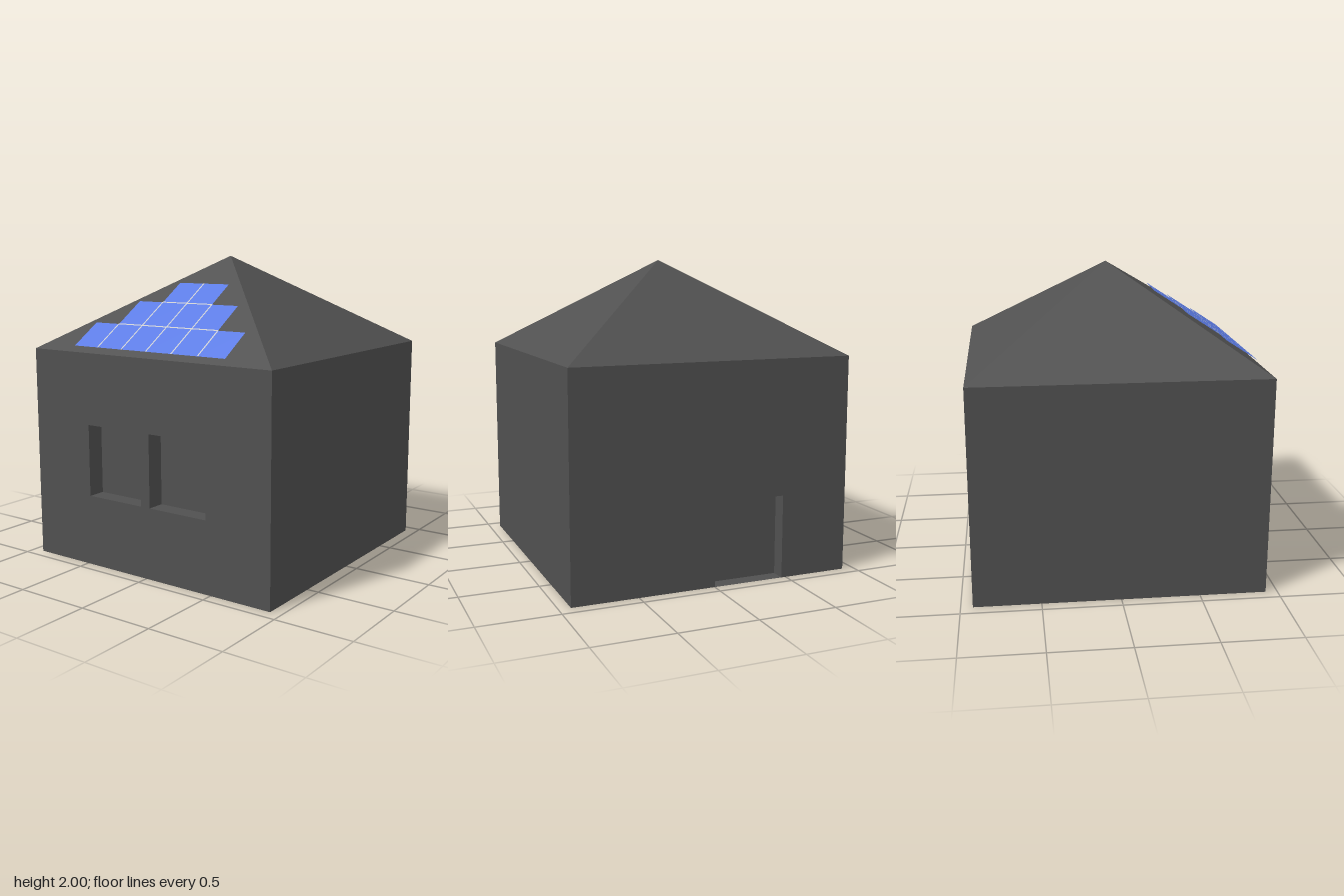
import * as THREE from 'three';

const HALF = 0.925, EAVE = 1.4, APEX = 2;

const wallMat = new THREE.MeshStandardMaterial({ color: 0x505050, flatShading: true });
const panelMat = new THREE.MeshStandardMaterial({ color: 0x5b7be5, side: THREE.DoubleSide });
const stripMat = new THREE.MeshStandardMaterial({ color: 0xcccccc, side: THREE.DoubleSide });

function add(parent, name, geometry, material) {
  const mesh = new THREE.Mesh(geometry, material);
  mesh.name = name;
  parent.add(mesh);
  return mesh;
}

// Corners of a rectangle, counter-clockwise from the lower left
const corners = ({ x0, x1, y0, y1 }) => [[x0, y0], [x1, y0], [x1, y1], [x0, y1]];

// Five inward-facing sides of a recess cut into a wall lying at z = 0
function recessGeometry(opening) {
  const c = corners(opening), d = -opening.depth, pos = [];
  const quad = (p, q, r, s) => pos.push(...p, ...q, ...r, ...p, ...r, ...s);
  c.forEach((a, i) => {
    const b = c[(i + 1) % 4];
    quad([...a, 0], [...b, 0], [...b, d], [...a, d]);
  });
  quad(...c.map((p) => [...p, d]));
  const g = new THREE.BufferGeometry();
  g.setAttribute('position', new THREE.Float32BufferAttribute(pos, 3));
  g.computeVertexNormals();
  return g;
}

// One wall: openings at ground level notch the outline, others become holes
function makeWall(name, angle, openings = []) {
  const group = new THREE.Group();
  group.name = name;
  const outline = [[-HALF, 0]];
  const holes = [];
  for (const o of openings) {
    const [bl, br, tr, tl] = corners(o);
    if (o.y0 === 0) outline.push(bl, tl, tr, br);
    else holes.push([bl, tl, tr, br]);
  }
  outline.push([HALF, 0], [HALF, EAVE], [-HALF, EAVE]);
  const toVec = (pts) => pts.map((p) => new THREE.Vector2(...p));
  const shape = new THREE.Shape(toVec(outline));
  shape.holes = holes.map((h) => new THREE.Path(toVec(h)));
  add(group, name + 'Face', new THREE.ShapeGeometry(shape), wallMat);
  for (const o of openings) add(group, o.name, recessGeometry(o), wallMat);
  group.position.set(Math.sin(angle) * HALF, 0, Math.cos(angle) * HALF);
  group.rotation.y = angle;
  return group;
}

// Flat rectangle in the plane of the solar array
function sheet(parent, name, x0, x1, y0, y1, z, material) {
  const mesh = add(parent, name, new THREE.PlaneGeometry(x1 - x0, y1 - y0), material);
  mesh.position.set((x0 + x1) / 2, (y0 + y1) / 2, z);
}

// Stepped solar array, local origin at the apex, local y up the slope
function makeSolarArray() {
  const array = new THREE.Group();
  array.name = 'solarArray';
  const edges = [-1.06, -0.815, -0.566, -0.348];
  const perSide = [3, 2, 1];
  const w = 0.197, lift = 0.017, top = 0.0185, t = 0.005;
  perSide.forEach((n, row) => {
    const y0 = edges[row], y1 = edges[row + 1];
    for (let i = -n; i < n; i++) {
      sheet(array, 'solarPanel', i * w, (i + 1) * w, y0, y1, lift, panelMat);
      if (i > -n) sheet(array, 'uprightStrip', i * w - t, i * w + t, y0, y1, top, stripMat);
    }
    if (row > 0) sheet(array, 'crossStrip', -n * w, n * w, y0 - t, y0 + t, top, stripMat);
  });
  array.position.y = APEX;
  array.rotation.x = -Math.atan2(HALF, APEX - EAVE);
  return array;
}

export function createModel() {
  const house = new THREE.Group();
  house.name = 'house';

  // Walls with two windows in front and a door at the back
  const windows = [-0.465, 0.035].map((x0) => (
    { name: 'windowRecess', x0, x1: x0 + 0.43, y0: 0.465, y1: 0.935, depth: 0.117 }));
  const door = { name: 'doorRecess', x0: 0, x1: 0.47, y0: 0, y1: 0.535, depth: 0.094 };
  house.add(
    makeWall('frontWall', 0, windows),
    makeWall('leftWall', Math.PI / 2),
    makeWall('backWall', Math.PI, [door]),
    makeWall('rightWall', -Math.PI / 2),
  );

  // Floor, facing down
  add(house, 'floor', new THREE.PlaneGeometry(2 * HALF, 2 * HALF).rotateX(Math.PI / 2), wallMat);

  // Pyramid roof
  const roof = new THREE.ConeGeometry(HALF * Math.SQRT2, APEX - EAVE, 4, 1, true, Math.PI / 4);
  add(house, 'roof', roof, wallMat).position.y = (APEX + EAVE) / 2;

  house.add(makeSolarArray());
  return house;
}
